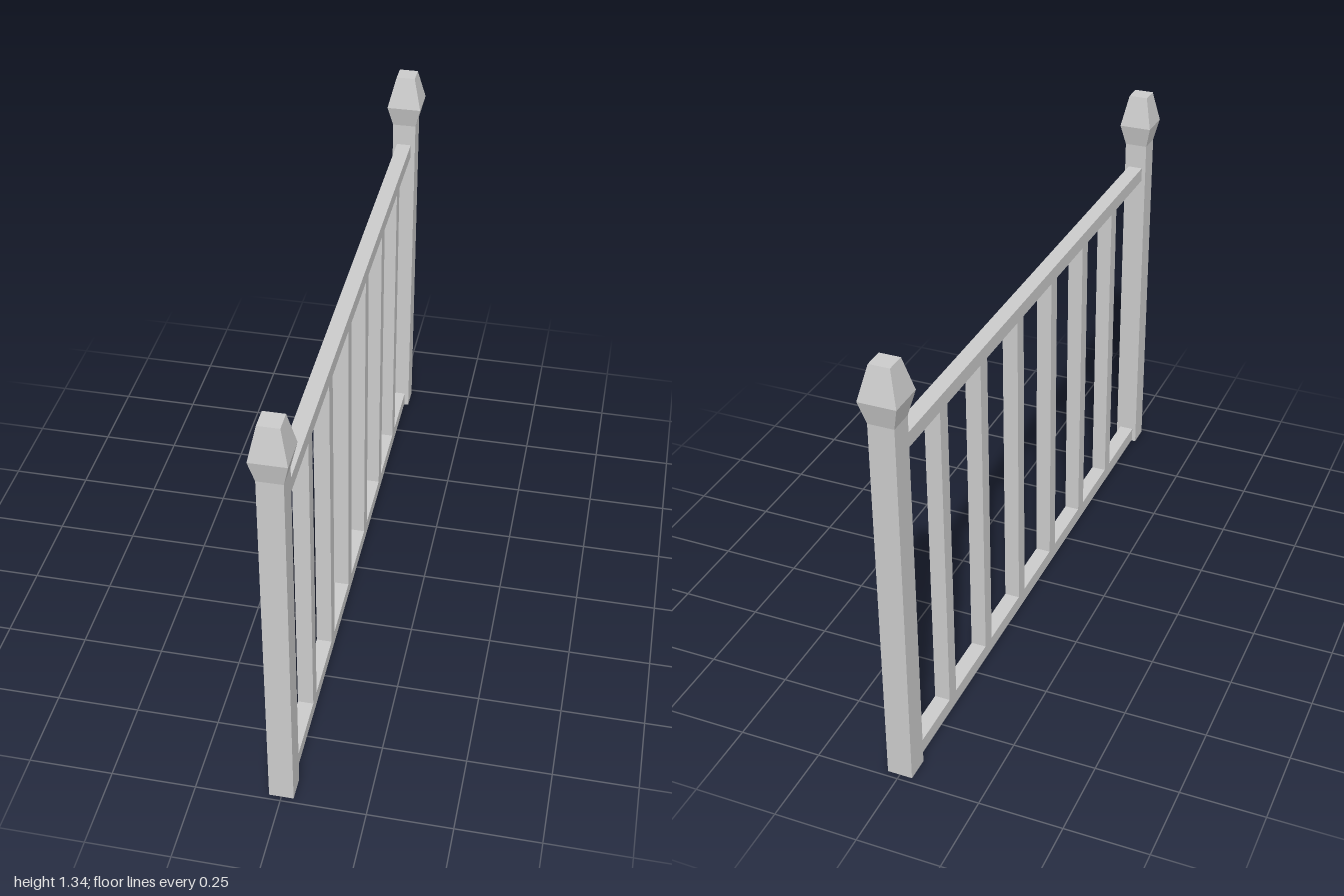
import * as THREE from 'three';

const material = new THREE.MeshStandardMaterial({ color: 0xcccccc, flatShading: true });

function box(name, w, h, d, x, y, z) {
  const mesh = new THREE.Mesh(new THREE.BoxGeometry(w, h, d), material);
  mesh.name = name;
  mesh.position.set(x, y, z);
  return mesh;
}

// Square post with a flared, tapering finial, turned as a four-sided lathe
function post(name, width, capWidth, height, z) {
  const profile = [
    [0, 0], [width, 0], [width, height - 0.168],
    [capWidth, height - 0.1], [0.06, height], [0, height],
  ].map(([w, y]) => new THREE.Vector2(w / Math.SQRT2, y));
  const geometry = new THREE.LatheGeometry(profile, 4).rotateY(Math.PI / 4);
  const mesh = new THREE.Mesh(geometry.toNonIndexed(), material);
  mesh.geometry.computeVertexNormals();
  mesh.name = name;
  mesh.position.z = z;
  return mesh;
}

export function createModel() {
  const group = new THREE.Group();
  group.name = 'fencePanel';

  // End posts
  group.add(post('frontPost', 0.072, 0.103, 1.335, 0.949));
  group.add(post('backPost', 0.075, 0.109, 1.326, -0.945));

  // Rails between the posts
  const zFront = 0.914, zBack = -0.907;
  const length = zFront - zBack, middle = (zFront + zBack) / 2;
  group.add(box('topRail', 0.047, 0.045, length, 0, 1.065, middle));
  group.add(box('bottomRail', 0.047, 0.045, length, 0, 0.028, middle));

  // Evenly spaced balusters
  for (let i = 0; i < 6; i++) {
    group.add(box('baluster' + (i + 1), 0.047, 0.992, 0.046, 0, 0.5465, 0.642 - i * 0.263));
  }
  return group;
}
